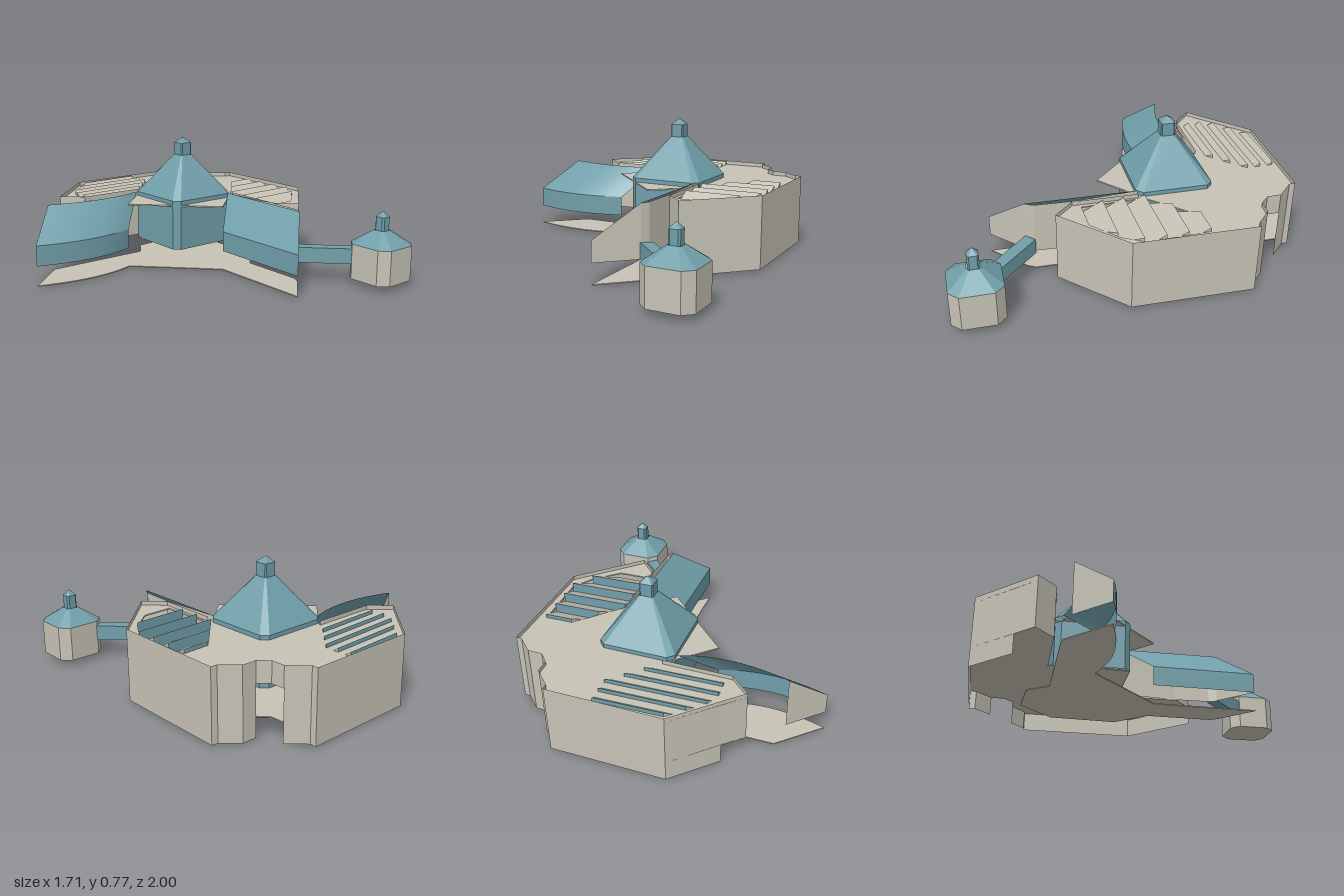
import * as THREE from 'three';

const stone = new THREE.MeshStandardMaterial({ color: 0xc6c2b5, side: THREE.DoubleSide });
stone.name = 'stone';
const teal = new THREE.MeshStandardMaterial({ color: 0x719faa, side: THREE.DoubleSide });
teal.name = 'teal roofing';

function add(parent, name, geo, mat) {
  const m = new THREE.Mesh(geo, mat);
  m.name = name;
  parent.add(m);
  return m;
}

// Flat-shaded geometry from a list of quads
function quads(list) {
  const pos = [];
  for (const [a, b, c, d] of list) for (const p of [a, b, c, a, c, d]) pos.push(...p);
  const g = new THREE.BufferGeometry();
  g.setAttribute('position', new THREE.Float32BufferAttribute(pos, 3));
  g.computeVertexNormals();
  return g;
}

// Upright wall following a ground path of [x, z] points
function wall(path, y0, y1) {
  return quads(path.slice(1).map(([x, z], i) => {
    const [px, pz] = path[i];
    return [[px, y0, pz], [x, y0, z], [x, y1, z], [px, y1, pz]];
  }));
}

// Horizontal slab from an [x, z] outline with optional holes, top at y
function slab(outline, y, t, holes = []) {
  const flat = pts => pts.map(([x, z]) => new THREE.Vector2(x, -z));
  const s = new THREE.Shape(flat(outline));
  s.holes = holes.map(h => new THREE.Path(flat(h)));
  const g = new THREE.ExtrudeGeometry(s, { depth: t, bevelEnabled: false });
  return g.rotateX(-Math.PI / 2).translate(0, y - t, 0);
}

// Chamfered-square loft: rings of [half width, chamfer, y]
function loft(rings) {
  const ring = ([h, c, y]) => {
    const k = h - c;
    return [[h, k], [h, -k], [k, -h], [-k, -h], [-h, -k], [-h, k], [-k, h], [k, h]].map(([x, z]) => [x, y, z]);
  };
  const out = [];
  for (let r = 0; r + 1 < rings.length; r++) {
    const a = ring(rings[r]), b = ring(rings[r + 1]);
    for (let i = 0; i < 8; i++) {
      const j = (i + 1) % 8;
      out.push([a[i], a[j], b[j], b[i]]);
    }
  }
  return quads(out);
}

// Smooth strip between two equal-length 3D point rows
function strip(a, b) {
  const g = new THREE.BufferGeometry(), n = a.length, idx = [];
  g.setAttribute('position', new THREE.Float32BufferAttribute([...a, ...b].flat(), 3));
  for (let i = 0; i + 1 < n; i++) idx.push(i, i + 1, n + i + 1, i, n + i + 1, n + i);
  g.setIndex(idx);
  g.computeVertexNormals();
  return g;
}

// Points on a curve bowing through a middle point
function bow(p, m, q, n = 12) {
  const c = new THREE.QuadraticBezierCurve(new THREE.Vector2(...p),
    new THREE.Vector2(2 * m[0] - (p[0] + q[0]) / 2, 2 * m[1] - (p[1] + q[1]) / 2), new THREE.Vector2(...q));
  return c.getPoints(n).map(v => [v.x, v.y]);
}

// Saw-tooth skylights: x limits come from left and right edge functions
function skylights(parent, { z0, z1, left, right }) {
  const n = 5, y0 = 0.36, y1 = 0.418, d = (z1 - z0) / n, slopes = [], glass = [];
  for (let i = 0; i < n; i++) {
    const a = z0 + i * d, b = a + d;
    const la = left(a), ra = right(a), lb = left(b), rb = right(b);
    slopes.push([[lb, y0, b], [rb, y0, b], [ra, y1, a], [la, y1, a]]);
    slopes.push([[la, y0, a], [lb, y0, b], [la, y1, a], [la, y1, a]]);
    slopes.push([[rb, y0, b], [ra, y0, a], [ra, y1, a], [ra, y1, a]]);
    glass.push([[ra, y0, a], [la, y0, a], [la, y1, a], [ra, y1, a]]);
  }
  const g = new THREE.Group();
  g.name = 'skylights';
  parent.add(g);
  add(g, 'skylightSlopes', quads(slopes), stone);
  add(g, 'skylightGlazing', quads(glass), teal);
}

// Outline of a skylight field, sampled at the tooth lines
function skylightOutline({ z0, z1, left, right }) {
  const zs = [0, 1, 2, 3, 4, 5].map(i => z0 + (z1 - z0) * i / 5);
  return [...zs.map(z => [left(z), z]), ...zs.reverse().map(z => [right(z), z])];
}

const lerp = (z, za, xa, zb, xb) => xa + (xb - xa) * THREE.MathUtils.clamp((z - za) / (zb - za), 0, 1);

export function createModel() {
  const model = new THREE.Group();
  model.name = 'building';

  // Main walls with the stepped rear entrance
  const rear = [[-0.385, -0.787], [-0.155, -1], [0.508, -0.975], [0.508, -0.94], [0.598, -0.845]];
  const entrance = [[0.598, -0.845], [0.598, -0.765], [0.648, -0.71]];
  const side = [[0.648, -0.71], [0.733, -0.705], [0.818, -0.62], [0.854, -0.615], [0.829, 0.07], [0.482, 0.393]];
  const westEnd = [[-0.385, -0.787], [-0.493, -0.69], [-0.385, -0.58], [0.01, -0.565]];
  const southEnd = [[0.482, 0.393], [0.38, 0.28], [0.395, -0.09]];
  add(model, 'rearWall', wall(rear, 0.008, 0.42), stone);
  add(model, 'sideWall', wall(side, 0.008, 0.42), stone);
  add(model, 'entranceLintel', wall(entrance, 0.3, 0.42), stone);
  add(model, 'westOverhangWall', wall(westEnd, 0.12, 0.42), stone);
  add(model, 'southOverhangWall', wall(southEnd, 0.12, 0.42), stone);

  // Roof deck below the parapet, with recessed saw-tooth skylights
  const fields = [
    { z0: -0.96, z1: -0.57, left: z => lerp(z, -0.96, -0.14, -0.77, -0.35), right: z => lerp(z, -0.8, 0.245, -0.57, 0) },
    { z0: -0.36, z1: 0.235, left: z => lerp(z, -0.36, 0.64, -0.12, 0.405), right: z => lerp(z, 0.05, 0.8, 0.235, 0.58) },
  ];
  const body = [[-0.493, -0.69], ...rear.slice(1), ...entrance.slice(1), ...side.slice(1), ...southEnd.slice(1)];
  const deck = [...body, [0.36, -0.09], [0.155, 0.085], [-0.235, -0.335], [-0.05, -0.5], [0.01, -0.565], [-0.385, -0.58]];
  add(model, 'roofDeck', slab(deck, 0.395, 0.008, fields.map(skylightOutline)), stone);
  for (const f of fields) skylights(model, f);

  // Raised floor under the body and central tower
  const storey = [...body, [-0.02, -0.1], [-0.045, -0.5], [0.01, -0.565], [-0.385, -0.58]];
  add(model, 'raisedFloor', slab(storey, 0.125, 0.006), stone);

  // Central tower with pyramid roof and cupola
  const tower = new THREE.Group();
  tower.name = 'centralTower';
  tower.position.set(0.175, 0, -0.313);
  tower.rotation.y = -0.03;
  model.add(tower);
  add(tower, 'towerShaft', loft([[0.22, 0.035, 0.12], [0.22, 0.035, 0.42]]), teal);
  add(tower, 'pyramidRoof', loft([[0.22, 0.035, 0.42], [0.04, 0.006, 0.66]]), teal);
  add(tower, 'cupola', loft([[0.039, 0.006, 0.655], [0.039, 0.006, 0.735], [0, 0, 0.77]]), teal);

  // Curved west wing: low front wall, sloping roof, open back
  const lift = (path, y) => path.map(([x, z]) => [x, y, z]);
  const front = bow([-0.855, -0.36], [-0.53, -0.29], [-0.235, -0.335]);
  const ridge = bow([-0.67, -0.53], [-0.35, -0.458], [-0.05, -0.5]);
  const endCap = (f, r) => quads([[[f[0], 0.12, f[1]], [r[0], 0.12, r[1]], [r[0], 0.42, r[1]], [f[0], 0.24, f[1]]]]);
  const west = new THREE.Group();
  west.name = 'westWing';
  model.add(west);
  add(west, 'frontWall', strip(lift(front, 0.12), lift(front, 0.24)), teal);
  add(west, 'slopingRoof', strip(lift(front, 0.24), lift(ridge, 0.42)), teal);
  add(west, 'outerEnd', endCap(front[0], ridge[0]), stone);

  // Straight south wing
  const sf = [[0.158, 0.085], [0.138, 0.713]], sr = [[0.36, -0.095], [0.333, 0.535]];
  const south = new THREE.Group();
  south.name = 'southWing';
  model.add(south);
  add(south, 'frontWall', strip(lift(sf, 0.12), lift(sf, 0.24)), teal);
  add(south, 'slopingRoof', strip(lift(sf, 0.24), lift(sr, 0.42)), teal);
  add(south, 'backWall', wall([sr[1], [0.36, 0.49], [0.375, 0.27], sr[0]], 0.12, 0.42), stone);
  add(south, 'outerEnd', endCap(sf[1], sr[1]), stone);

  // Thin ground slab beneath the wings and tower
  const floor = [...front, ...sf, [0.333, 0.535], [0.36, 0.49], [0.375, 0.1], [0.54, -0.08], [0.54, -0.48],
    [0.36, -0.68], [0.1, -0.67], [0.01, -0.55], [-0.62, -0.57]];
  add(model, 'groundSlab', slab(floor, 0.006, 0.006), stone);

  // Bridge to the detached turret
  const bridge = add(model, 'bridge', new THREE.BoxGeometry(0.32, 0.09, 0.07), teal);
  bridge.position.set(0.467, 0.165, 0.63);
  bridge.rotation.y = -0.81;

  const turret = new THREE.Group();
  turret.name = 'turret';
  turret.position.set(0.674, 0, 0.855);
  turret.rotation.y = -0.03;
  model.add(turret);
  add(turret, 'turretBody', loft([[0, 0, 0.035], [0.143, 0.052, 0.035], [0.143, 0.052, 0.24]]), stone);
  add(turret, 'turretRoof', loft([[0.143, 0.052, 0.24], [0.036, 0.012, 0.32]]), teal);
  add(turret, 'turretCupola', loft([[0.031, 0.01, 0.315], [0.031, 0.01, 0.397], [0, 0, 0.43]]), teal);

  return model;
}
